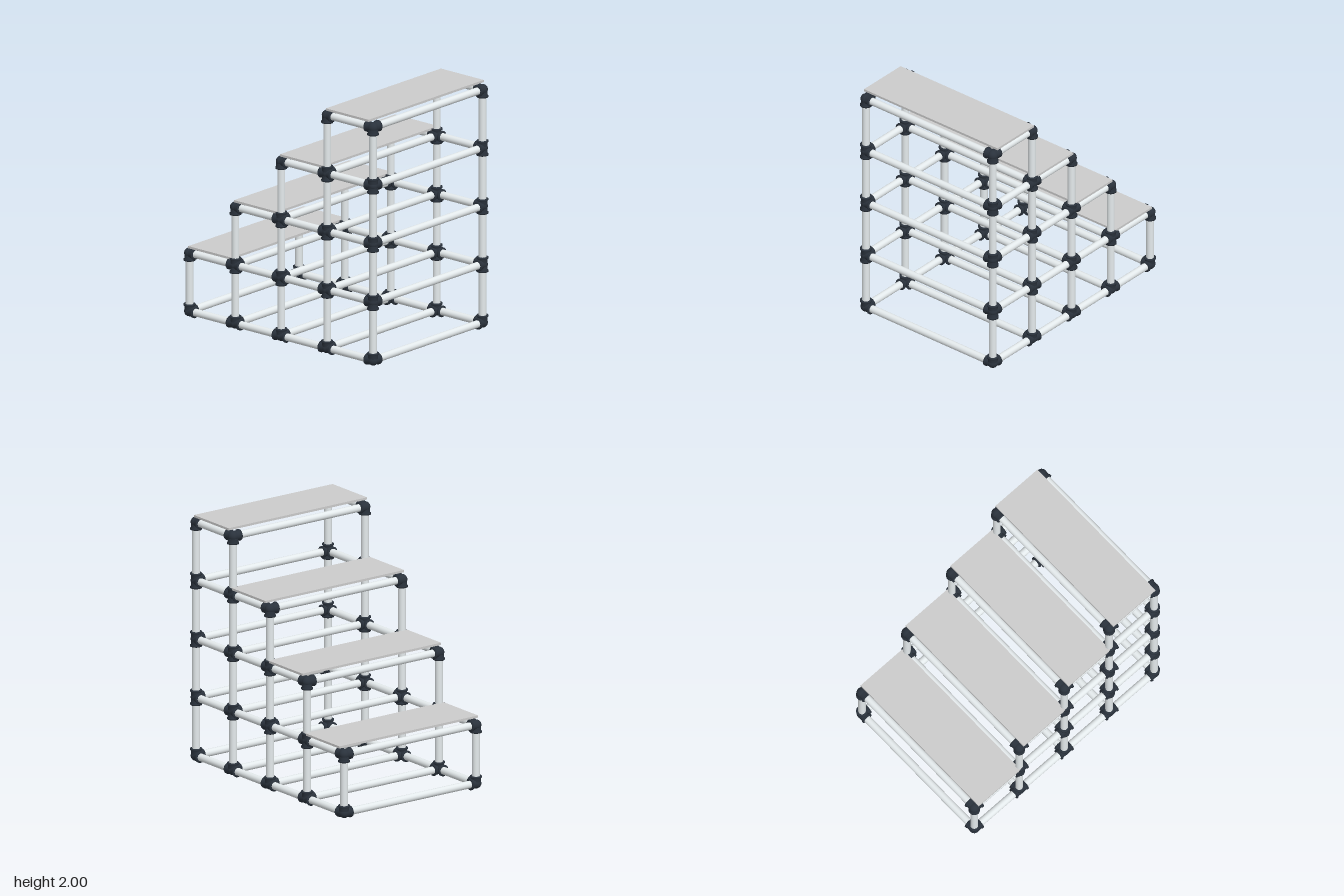
import * as THREE from 'three';

const STEP = 0.472, BASE = 0.047, HALF_Z = 0.64;
const PIPE_R = 0.03, HUB_R = 0.042;
const TOPS = [1, 2, 3, 4, 4]; // highest level of each column, low end to high end

const pipeMat = new THREE.MeshStandardMaterial({ color: 0xe4eaec });
const jointMat = new THREE.MeshStandardMaterial({ color: 0x2a323c });
const boardMat = new THREE.MeshStandardMaterial({ color: 0xcccccc });

const UP = new THREE.Vector3(0, 1, 0);
const node = (col, level, side) =>
  new THREE.Vector3((col - 2) * STEP, BASE + level * STEP, side * HALF_Z);

export function createModel() {
  const model = new THREE.Group();
  const pipes = new THREE.Group();
  pipes.name = 'pipes';
  const joints = new THREE.Group();
  joints.name = 'joints';
  const boards = new THREE.Group();
  boards.name = 'stepBoards';
  model.add(pipes, joints, boards);

  // Socket of a joint: sleeve with a raised rim at its open end
  const socketGeo = new THREE.LatheGeometry([
    [0.039, 0], [0.039, 0.044], [0.046, 0.048], [0.046, 0.06], [PIPE_R, 0.06],
  ].map(([r, y]) => new THREE.Vector2(r, y)), 20);
  const hubGeo = new THREE.SphereGeometry(HUB_R, 20, 14);

  const addSocket = (at, dir) => {
    const socket = new THREE.Mesh(socketGeo, jointMat);
    socket.name = 'jointSocket';
    socket.position.copy(at);
    socket.quaternion.setFromUnitVectors(UP, dir);
    joints.add(socket);
  };

  // A pipe between two nodes, with a socket at each end
  const addPipe = (a, b, name) => {
    const dir = b.clone().sub(a);
    const length = dir.length();
    dir.normalize();
    const geo = new THREE.CylinderGeometry(PIPE_R, PIPE_R, length, 20, 1, true);
    const pipe = new THREE.Mesh(geo, pipeMat);
    pipe.name = name;
    pipe.position.copy(a).lerp(b, 0.5);
    pipe.quaternion.setFromUnitVectors(UP, dir);
    pipes.add(pipe);
    addSocket(a, dir);
    addSocket(b, dir.clone().negate());
  };

  TOPS.forEach((top, col) => {
    for (let level = 0; level <= top; level++) {
      for (const side of [-1, 1]) {
        const here = node(col, level, side);
        const hub = new THREE.Mesh(hubGeo, jointMat);
        hub.name = 'jointHub';
        hub.position.copy(here);
        joints.add(hub);
        if (level < top) addPipe(here, node(col, level + 1, side), 'post');
        if (col < 4 && level <= TOPS[col + 1]) addPipe(here, node(col + 1, level, side), 'sideRail');
      }
      addPipe(node(col, level, -1), node(col, level, 1), 'crossRail');
    }
  });

  // One thin board on top of each step
  for (let i = 0; i < 4; i++) {
    const board = new THREE.Mesh(new THREE.BoxGeometry(0.44, 0.018, 1.346), boardMat);
    board.name = 'stepBoard';
    board.position.set((i - 1.5) * STEP, BASE + (i + 1) * STEP + 0.056, 0);
    boards.add(board);
  }
  return model;
}
